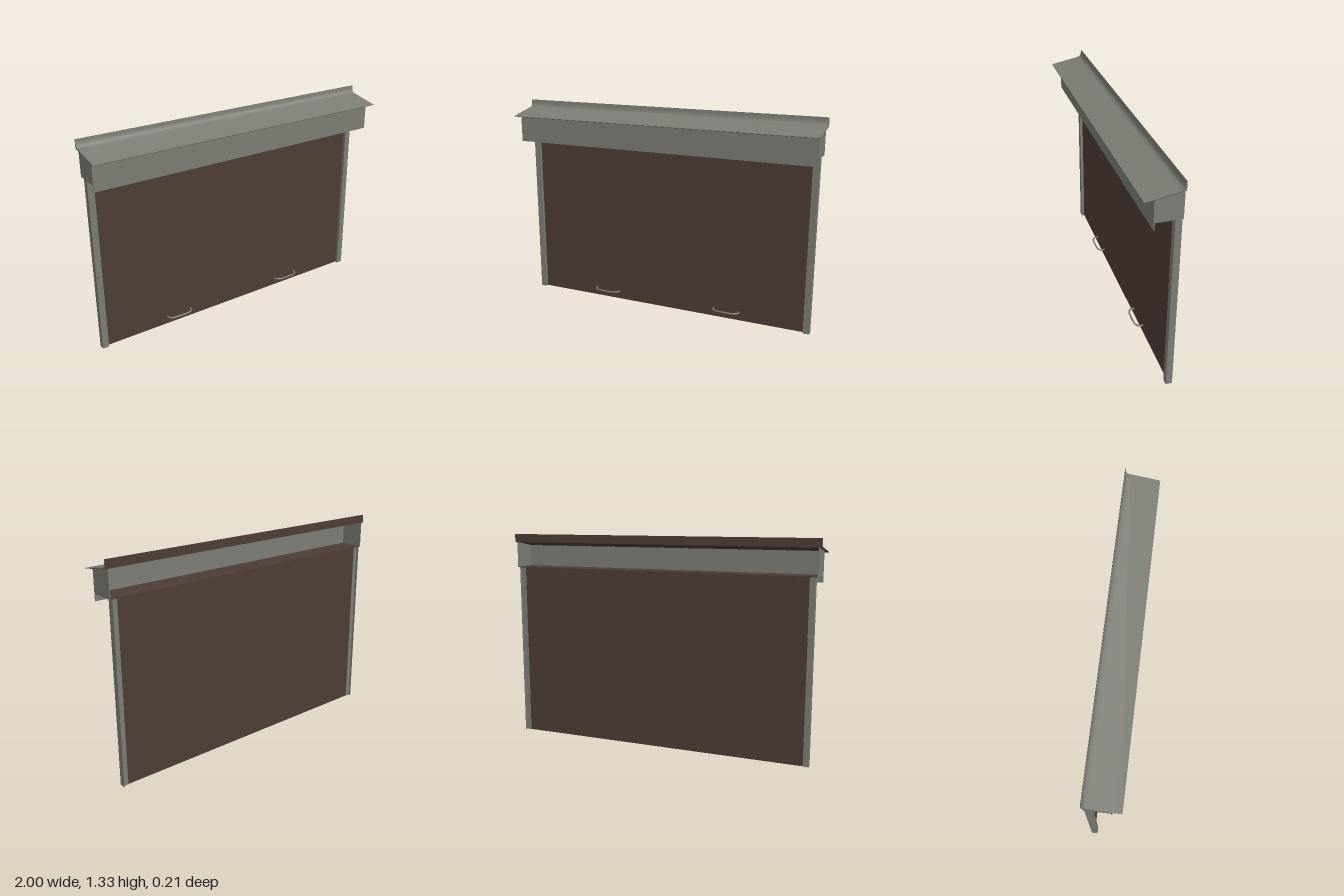
import * as THREE from 'three';
import { toCreasedNormals } from 'three/addons/utils/BufferGeometryUtils.js';

export function createModel() {
  const grey = new THREE.MeshStandardMaterial({ color: 0x7b7d74 });
  grey.name = 'grey metal';
  const brown = new THREE.MeshStandardMaterial({ color: 0x4e3c35 });
  brown.name = 'dark brown';

  const model = new THREE.Group();
  model.name = 'rollerShutter';

  function add(name, geometry, material, parent = model) {
    const mesh = new THREE.Mesh(geometry, material);
    mesh.name = name;
    parent.add(mesh);
    return mesh;
  }

  // box given by its limits on each axis
  function block(name, x0, x1, y0, y1, z0, z1, material, parent) {
    const mesh = add(name, new THREE.BoxGeometry(x1 - x0, y1 - y0, z1 - z0), material, parent);
    mesh.position.set((x0 + x1) / 2, (y0 + y1) / 2, (z0 + z1) / 2);
    return mesh;
  }

  // closed [z, y] outline extruded along x, centred on cx
  function extrudeX(points, width, cx = 0) {
    const shape = new THREE.Shape(points.map(([z, y]) => new THREE.Vector2(z, y)));
    const g = new THREE.ExtrudeGeometry(shape, { depth: width, bevelEnabled: false });
    g.translate(0, 0, -width / 2);
    g.rotateY(-Math.PI / 2);
    g.translate(cx, 0, 0);
    return g;
  }

  // sloped roof sheet curling up to a rear flange, with a brown underside
  const curl = new THREE.QuadraticBezierCurve(
    new THREE.Vector2(-0.078, 1.279),
    new THREE.Vector2(-0.101, 1.283),
    new THREE.Vector2(-0.102, 1.327)
  ).getPoints(10).map((p) => [p.x, p.y]);
  const top = [[0.108, 1.243], ...curl];
  const middle = [[-0.1035, 1.327], [-0.1035, 1.2765], [0.108, 1.2405]];
  const bottom = [[-0.105, 1.327], [-0.105, 1.275], [0.108, 1.239]];
  add('roof', toCreasedNormals(extrudeX([...top, ...middle], 2), 0.5), grey);
  add('roofLining', extrudeX([...middle, ...bottom.slice().reverse()], 2), brown);

  // housing, open at the back
  block('housingFront', -0.985, 0.985, 1.07, 1.249, 0.045, 0.052, grey);
  block('housingFloor', -0.98, 0.98, 1.11, 1.114, -0.104, 0.045, brown);
  const endOutline = [[-0.105, 1.11], [0.052, 1.11], [0.052, 1.249], [-0.105, 1.275]];
  for (const side of [-1, 1]) {
    add('housingEnd', extrudeX(endOutline, 0.005, side * 0.9825), grey);
  }

  // curtain
  block('curtain', -0.935, 0.935, 0, 1.11, -0.09, -0.086, brown);

  // guide channels, open at the back
  for (const side of [-1, 1]) {
    const guide = new THREE.Group();
    guide.name = side > 0 ? 'leftGuide' : 'rightGuide';
    model.add(guide);
    const span = (a, b) => (side > 0 ? [a, b] : [-b, -a]);
    block('guideOuterWall', ...span(0.966, 0.97), 0, 1.11, -0.105, -0.067, grey, guide);
    block('guideFront', ...span(0.931, 0.966), 0, 1.11, -0.071, -0.067, grey, guide);
    block('guideInnerWall', ...span(0.931, 0.935), 0, 1.11, -0.086, -0.071, grey, guide);
    block('guideBack', ...span(0.935, 0.966), 0, 1.11, -0.093, -0.089, grey, guide);
  }

  // bowed pull handles
  for (const side of [-1, 1]) {
    const path = new THREE.CatmullRomCurve3([
      [-0.085, -0.087], [-0.083, -0.06], [-0.066, -0.043], [0, -0.037],
      [0.066, -0.043], [0.083, -0.06], [0.085, -0.087],
    ].map(([x, z]) => new THREE.Vector3(x, 0, z)));
    const handle = add('handle', new THREE.TubeGeometry(path, 28, 0.0055, 8), grey);
    handle.position.set(side * 0.43, 0.057, 0);
    for (const end of [-1, 1]) {
      const x = side * 0.43 + end * 0.085;
      block('handleMount', x - 0.009, x + 0.009, 0.05, 0.064, -0.087, -0.078, brown);
    }
  }

  return model;
}
